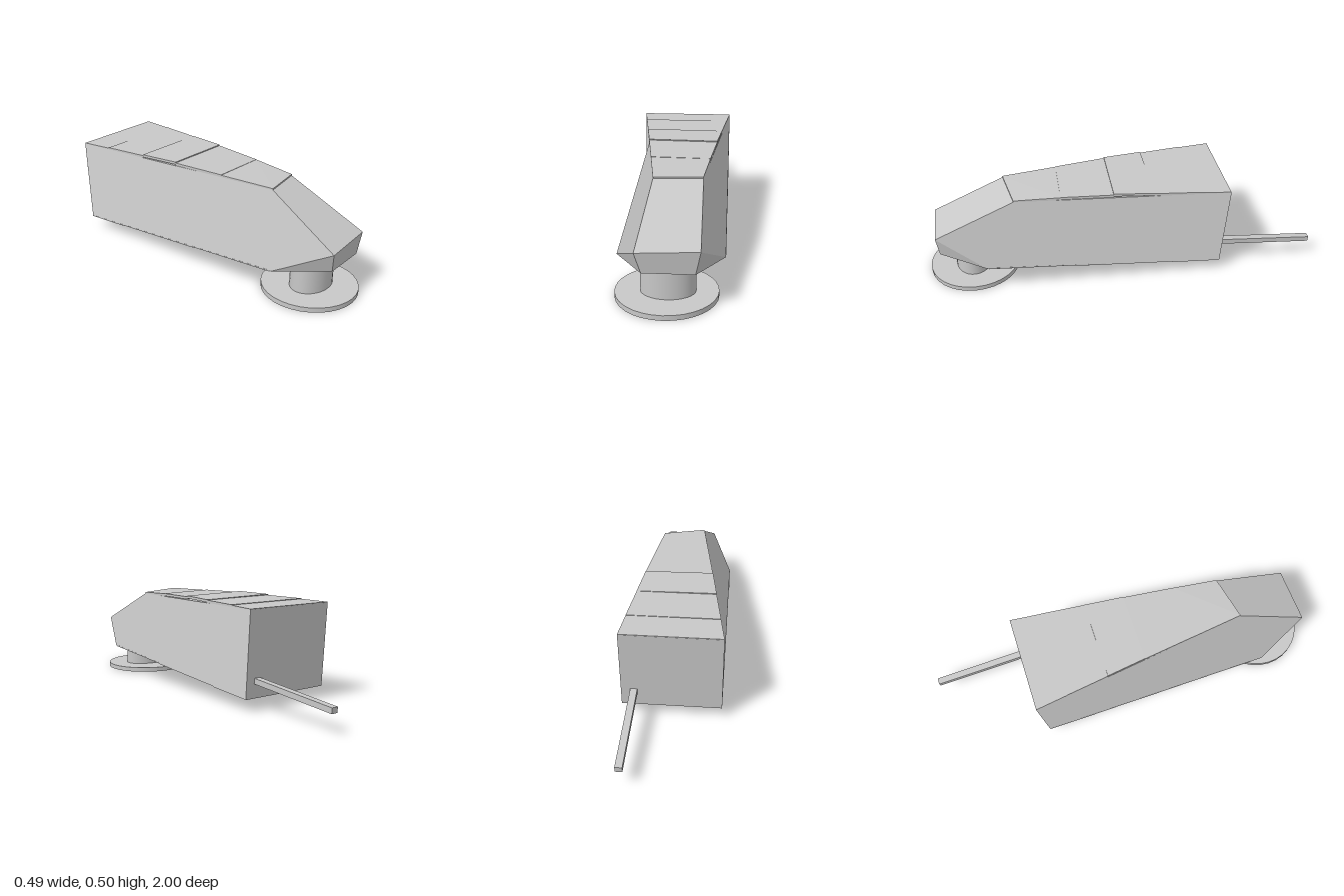
import * as THREE from 'three';
import { ConvexGeometry } from 'three/addons/geometries/ConvexGeometry.js';

const grey = new THREE.MeshStandardMaterial({ color: 0xc8c8c8 });
grey.name = 'grey';

function part(name, geometry, x = 0, y = 0, z = 0) {
  const mesh = new THREE.Mesh(geometry, grey);
  mesh.name = name;
  mesh.position.set(x, y, z);
  return mesh;
}

const hull = (points) => new ConvexGeometry(points.map((p) => new THREE.Vector3(...p)));

// A slightly bent polygon, fanned from its first corner and shaded with one shared normal
function panel(name, ...loop) {
  const corners = loop.map((p) => new THREE.Vector3(...p));
  const normal = new THREE.Vector3();
  const index = [];
  for (let i = 1; i < corners.length - 1; i++) {
    const a = corners[i].clone().sub(corners[0]);
    const b = corners[i + 1].clone().sub(corners[0]);
    normal.add(a.cross(b));
    index.push(0, i, i + 1);
  }
  normal.normalize();
  const geometry = new THREE.BufferGeometry().setFromPoints(corners);
  const normals = corners.flatMap(() => normal.toArray());
  geometry.setAttribute('normal', new THREE.Float32BufferAttribute(normals, 3));
  geometry.setIndex(index);
  return part(name, geometry);
}

// Edges of the tapering top deck at a given z
const edgeAtNegX = (z) => THREE.MathUtils.mapLinear(z, -0.53, 0.585, -0.245, -0.09);
const edgeAtPosX = (z) => THREE.MathUtils.mapLinear(z, -0.53, 0.54, 0.245, 0.135);
const bellyY = (z) => THREE.MathUtils.mapLinear(z, -0.5, 0.7, 0.062, 0.156);

// Faceted body: rear wall, tapering sides and deck, angular nose
function createBody() {
  const body = new THREE.Group();
  body.name = 'body';
  // Corners, R at -x and L at +x
  const rearTopR = [-0.245, 0.483, -0.53], rearTopL = [0.245, 0.483, -0.53];
  const rearLowR = [-0.245, 0.062, -0.5], rearLowL = [0.245, 0.062, -0.5];
  const deckR = [-0.09, 0.475, 0.585], deckL = [0.135, 0.466, 0.54];
  const noseR = [-0.135, 0.281, 0.952], noseL = [0.142, 0.288, 0.94];
  const chinR = [-0.108, 0.183, 0.935], chinL = [0.12, 0.18, 0.93];
  const cornerR = [-0.245, 0.156, 0.7], cornerL = [0.243, 0.155, 0.7];
  const midR = [edgeAtNegX(0.05), 0.479, 0.05];
  body.add(
    panel('rearWall', rearLowL, rearLowR, rearTopR, rearTopL),
    panel('rightSide', midR, rearTopR, rearLowR, cornerR, noseR, deckR),
    panel('leftSide', rearTopL, deckL, noseL, cornerL, rearLowL),
    panel('deck', deckR, deckL, rearTopL, rearTopR),
    panel('hood', noseR, noseL, deckL, deckR),
    panel('noseFront', chinR, chinL, noseL, noseR),
    panel('rightCheek', cornerR, chinR, noseR),
    panel('leftCheek', cornerL, noseL, chinL),
    panel('chin', cornerR, cornerL, chinL, chinR),
    panel('belly', rearLowR, rearLowL, cornerL, cornerR),
  );
  return body;
}

export function createModel() {
  const model = new THREE.Group();
  model.add(createBody());

  // Overlapping deck plates, highest in the middle: [rear z, front z, rear y, front y, tilt]
  const plates = [
    [-0.529, -0.37, 0.486, 0.488, 0],
    [-0.37, -0.15, 0.491, 0.492, 0.001],
    [-0.15, 0.05, 0.497, 0.499, 0.004],
    [0.05, 0.31, 0.494, 0.489, 0.004],
    [0.31, 0.585, 0.487, 0.482, 0.003],
  ];
  plates.forEach(([z0, z1, y0, y1, tilt], i) => {
    const zl = Math.min(z1, 0.54); // the front edge is slightly skewed
    const corners = [];
    for (const drop of [0, 0.013]) {
      corners.push(
        [edgeAtNegX(z0), y0 - drop, z0], [edgeAtPosX(z0), y0 - tilt - drop, z0],
        [edgeAtNegX(z1), y1 - drop, z1],
        [edgeAtPosX(zl), y1 - tilt - drop - (z1 - zl) * 0.13, zl],
      );
    }
    model.add(part(`deckPlate${i + 1}`, hull(corners)));
  });

  // Three thin belly plates with small steps between them
  [[-0.5, -0.25], [-0.25, 0.24], [0.24, 0.69]].forEach(([z0, z1], i) => {
    const corners = [];
    for (const x of [-0.245, 0.244]) {
      corners.push(
        [x, bellyY(z0) - 0.001, z0], [x, bellyY(z1) - 0.004, z1],
        [x, bellyY(z0) + 0.003, z0], [x, bellyY(z1) + 0.003, z1],
      );
    }
    model.add(part(`bellyPlate${i + 1}`, hull(corners)));
  });

  // Oval post on a round base under the nose
  const post = part('post', new THREE.CylinderGeometry(1, 1, 0.16, 32), -0.008, 0.1, 0.773);
  post.scale.set(0.124, 1, 0.093);
  model.add(post);
  model.add(part('base', new THREE.CylinderGeometry(0.232, 0.232, 0.024, 32), -0.014, 0.012, 0.768));

  // Drooping bar at the rear
  const bar = part('rearBar', new THREE.BoxGeometry(0.034, 0.027, 0.52), 0.182, 0.127, -0.74);
  bar.rotation.x = -0.078;
  model.add(bar);

  return model;
}
